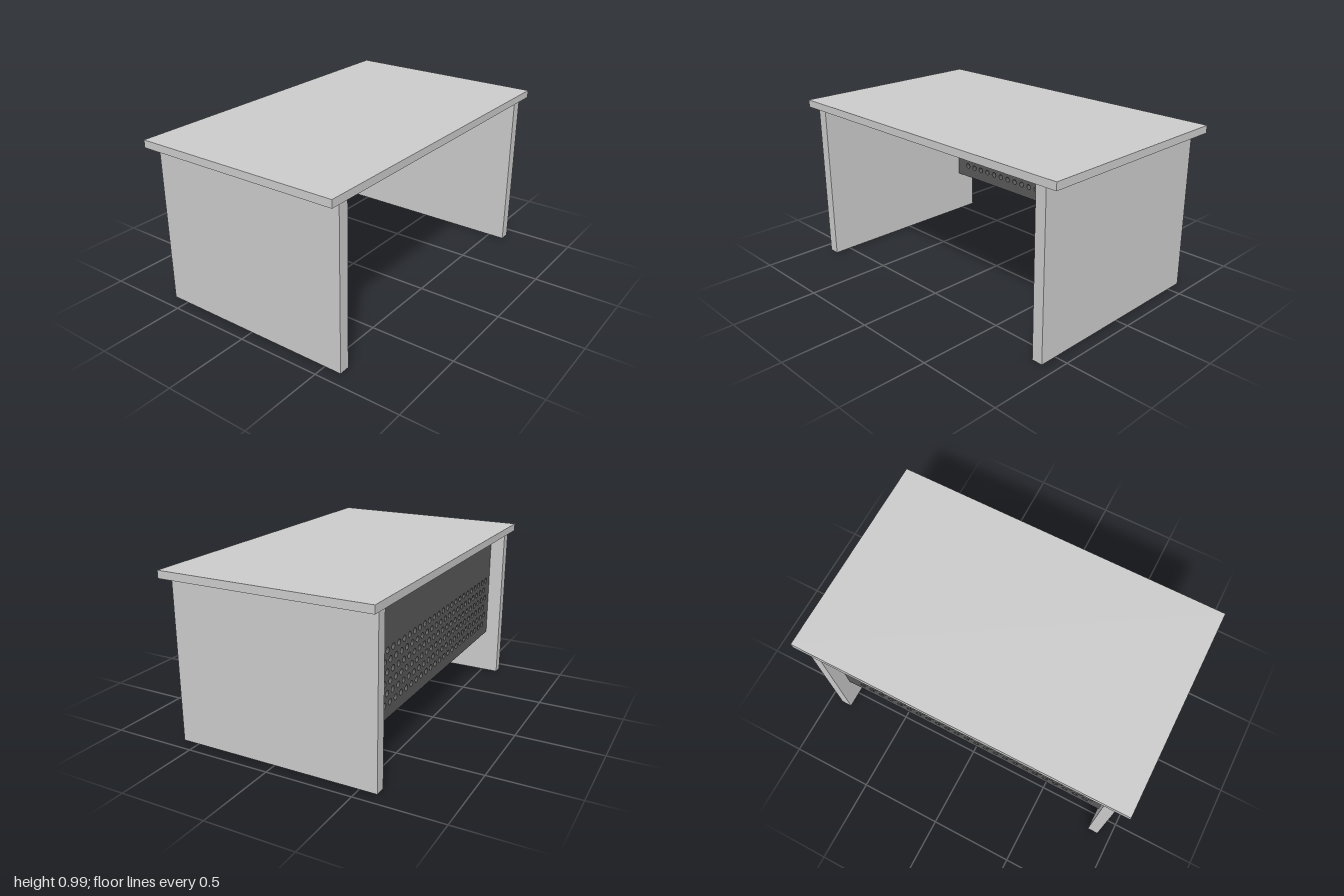
import * as THREE from 'three';

const grey = new THREE.MeshStandardMaterial({ color: 0xcccccc });
const dark = new THREE.MeshStandardMaterial({ color: 0x5a5a5a });

// Box given by its lower and upper corners
function slab(name, [x0, y0, z0], [x1, y1, z1]) {
  const mesh = new THREE.Mesh(new THREE.BoxGeometry(x1 - x0, y1 - y0, z1 - z0), grey);
  mesh.position.set((x0 + x1) / 2, (y0 + y1) / 2, (z0 + z1) / 2);
  mesh.name = name;
  return mesh;
}

// Back panel with staggered rows of round through holes
function perforatedPanel() {
  const halfWidth = 0.858, bottom = 0.272, top = 0.946, depth = 0.044;
  const shape = new THREE.Shape([
    new THREE.Vector2(-halfWidth, bottom),
    new THREE.Vector2(halfWidth, bottom),
    new THREE.Vector2(halfWidth, top),
    new THREE.Vector2(-halfWidth, top),
  ]);
  const rows = 6, columns = 24, pitchX = 0.0655, pitchY = 0.0583, radius = 0.0175;
  for (let r = 0; r < rows; r++) {
    const startX = r % 2 ? -0.761 : -0.791;
    for (let c = 0; c < columns; c++) {
      const hole = new THREE.Path();
      hole.absarc(startX + c * pitchX, 0.643 - r * pitchY, radius, 0, Math.PI * 2, true);
      shape.holes.push(hole);
    }
  }
  const geometry = new THREE.ExtrudeGeometry(shape, { depth, bevelEnabled: false, curveSegments: 16 });
  const mesh = new THREE.Mesh(geometry, dark);
  mesh.position.z = -0.514;
  mesh.name = 'modestyPanel';
  return mesh;
}

export function createModel() {
  const desk = new THREE.Group();
  desk.name = 'desk';

  // Overhanging top
  desk.add(slab('tableTop', [-1, 0.946, -0.62], [1, 0.99, 0.62]));

  // Solid side legs
  desk.add(slab('leftLeg', [0.858, 0, -0.6], [0.922, 0.946, 0.6]));
  desk.add(slab('rightLeg', [-0.922, 0, -0.6], [-0.858, 0.946, 0.6]));

  desk.add(perforatedPanel());
  return desk;
}
